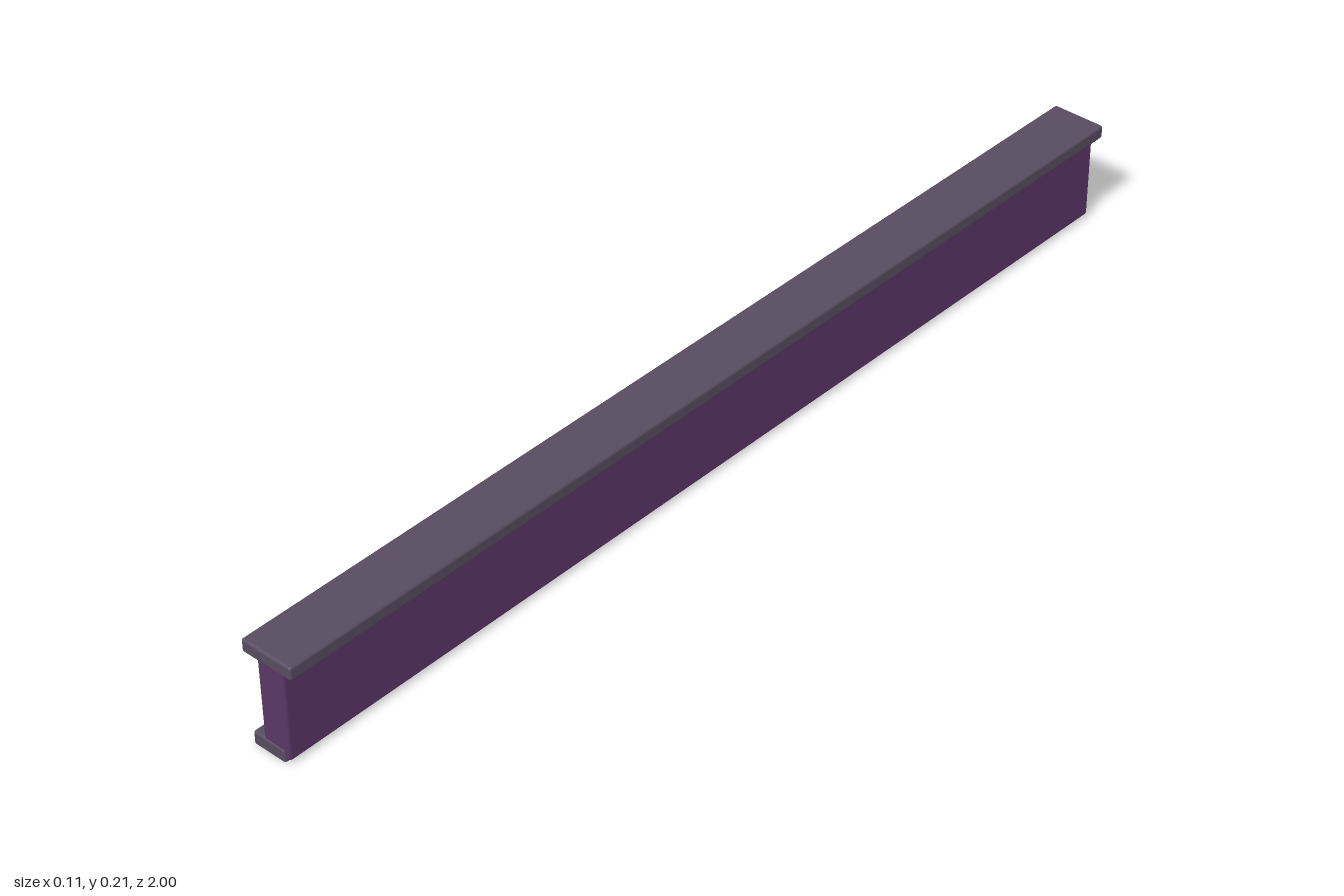
import * as THREE from 'three';
import { RoundedBoxGeometry } from 'three/addons/geometries/RoundedBoxGeometry.js';

const material = (name, color) => {
  const m = new THREE.MeshStandardMaterial({ color });
  m.name = name;
  return m;
};

export function createModel() {
  const group = new THREE.Group();
  group.name = 'beam';
  const steel = material('greyViolet', 0x584c60);
  const purple = material('purple', 0x5a3667);
  const blue = material('steelBlue', 0x4a7890);

  // Softened box given by its limits on each axis
  const block = (name, mat, [x0, x1], [y0, y1], [z0, z1], bevel) => {
    const geometry = new RoundedBoxGeometry(x1 - x0, y1 - y0, z1 - z0, 2, bevel);
    const mesh = new THREE.Mesh(geometry, mat);
    mesh.name = name;
    mesh.position.set((x0 + x1) / 2, (y0 + y1) / 2, (z0 + z1) / 2);
    group.add(mesh);
  };

  // Flanges and web
  block('topFlange', steel, [-0.054, 0.053], [0.181, 0.207], [-1, 1], 0.005);
  block('bottomFlange', steel, [-0.046, 0.024], [0.001, 0.028], [-1, 1], 0.005);
  block('web', purple, [-0.024, 0.033], [0.008, 0.188], [-0.998, 0.998], 0.006);

  // Stiffening ribs on the right side
  const ribs = [-0.75, -0.25, 0.25, 0.75];
  for (const z of ribs) {
    block('rib', steel, [-0.034, -0.02], [0.022, 0.147], [z - 0.024, z + 0.024], 0.002);
  }

  // Cable resting on the ribs, sagging slightly between them
  const points = [];
  for (let i = 0; i <= 32; i++) {
    const z = -0.98 + (1.96 * i) / 32;
    points.push(new THREE.Vector3(-0.031, 0.15 - 0.003 * Math.cos(z * Math.PI * 4), z));
  }
  const path = new THREE.CatmullRomCurve3(points);
  const cable = new THREE.Mesh(new THREE.TubeGeometry(path, 96, 0.0045, 8), blue);
  cable.name = 'cable';
  group.add(cable);

  // Cable end caps
  for (const side of [-1, 1]) {
    const cap = new THREE.Mesh(new THREE.SphereGeometry(0.0045, 8, 6), blue);
    cap.name = 'cableEnd';
    cap.position.copy(points[side < 0 ? 0 : 32]);
    group.add(cap);
  }
  return group;
}
